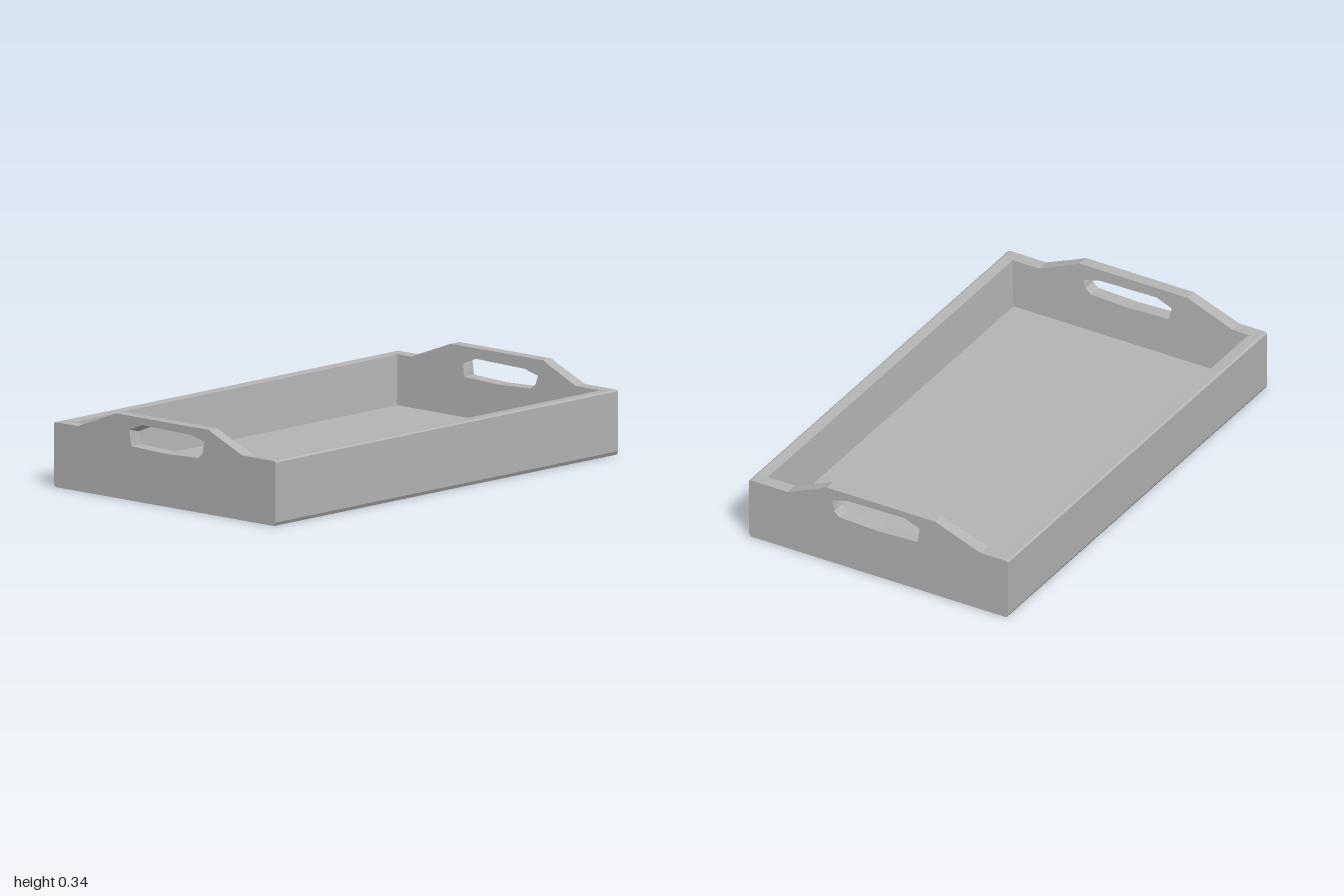
import * as THREE from 'three';

const grey = new THREE.MeshStandardMaterial({ color: 0xb4b4b4, flatShading: true });
grey.name = 'plain grey';

const points = (list) => list.map(([x, y]) => new THREE.Vector2(x, y));

// Walls are a little thinner at the top than at the base
const thickness = (y) => 0.075 - 0.075 * y;

// End wall with raised handle and hand slot; side is +1 or -1 along x
function endWall(side) {
  const shape = new THREE.Shape(points([
    [-0.59, 0], [0.59, 0], [0.598, 0.015], [0.598, 0.257], [0.59, 0.262], [0.42, 0.262],
    [0.26, 0.33], [0.24, 0.341], [-0.26, 0.341], [-0.47, 0.262], [-0.59, 0.262],
    [-0.598, 0.257], [-0.598, 0.015],
  ]));
  shape.holes.push(new THREE.Path(points([
    [0.205, 0.24], [0.18, 0.22], [0, 0.213], [-0.18, 0.22], [-0.19, 0.285],
    [-0.12, 0.313], [0.14, 0.308], [0.215, 0.29],
  ])));
  const geo = new THREE.ExtrudeGeometry(shape, { depth: 0.07, bevelEnabled: false });
  geo.rotateY(-Math.PI / 2);
  geo.translate(side > 0 ? 1 : -0.93, 0, 0);
  const p = geo.attributes.position;
  for (let i = 0; i < p.count; i++) {
    if (Math.abs(p.getX(i)) > 0.96) continue;
    // Inner face leans outward, and the slot's upper edge slopes down to it
    const y = p.getY(i);
    const slotTop = Math.abs(p.getZ(i)) < 0.23 && y > 0.28 && y < 0.32;
    const newY = slotTop ? y - 0.014 : y;
    p.setXYZ(i, side * (1 - thickness(newY)), newY, p.getZ(i));
  }
  geo.computeVertexNormals();
  return new THREE.Mesh(geo, grey);
}

// Long wall, a tapered section extruded along x
function longWall(side) {
  const outline = [
    [0.59, 0], [0.598, 0.015], [0.598, 0.257], [0.59, 0.262],
    [0.6 - thickness(0.26), 0.26], [0.6 - thickness(0), 0],
  ].map(([z, y]) => [z * side, y]);
  const geo = new THREE.ExtrudeGeometry(new THREE.Shape(points(outline)), { depth: 1.89, bevelEnabled: false });
  geo.rotateY(-Math.PI / 2);
  geo.translate(0.945, 0, 0);
  return new THREE.Mesh(geo, grey);
}

export function createModel() {
  const tray = new THREE.Group();
  tray.name = 'servingTray';

  const floor = new THREE.Mesh(new THREE.BoxGeometry(1.88, 0.058, 1.08), grey);
  floor.position.y = 0.031;
  floor.name = 'floor';
  tray.add(floor);

  for (const side of [1, -1]) {
    const end = endWall(side);
    end.name = side > 0 ? 'leftHandleWall' : 'rightHandleWall';
    const wall = longWall(side);
    wall.name = side > 0 ? 'frontWall' : 'backWall';
    tray.add(end, wall);
  }
  return tray;
}
